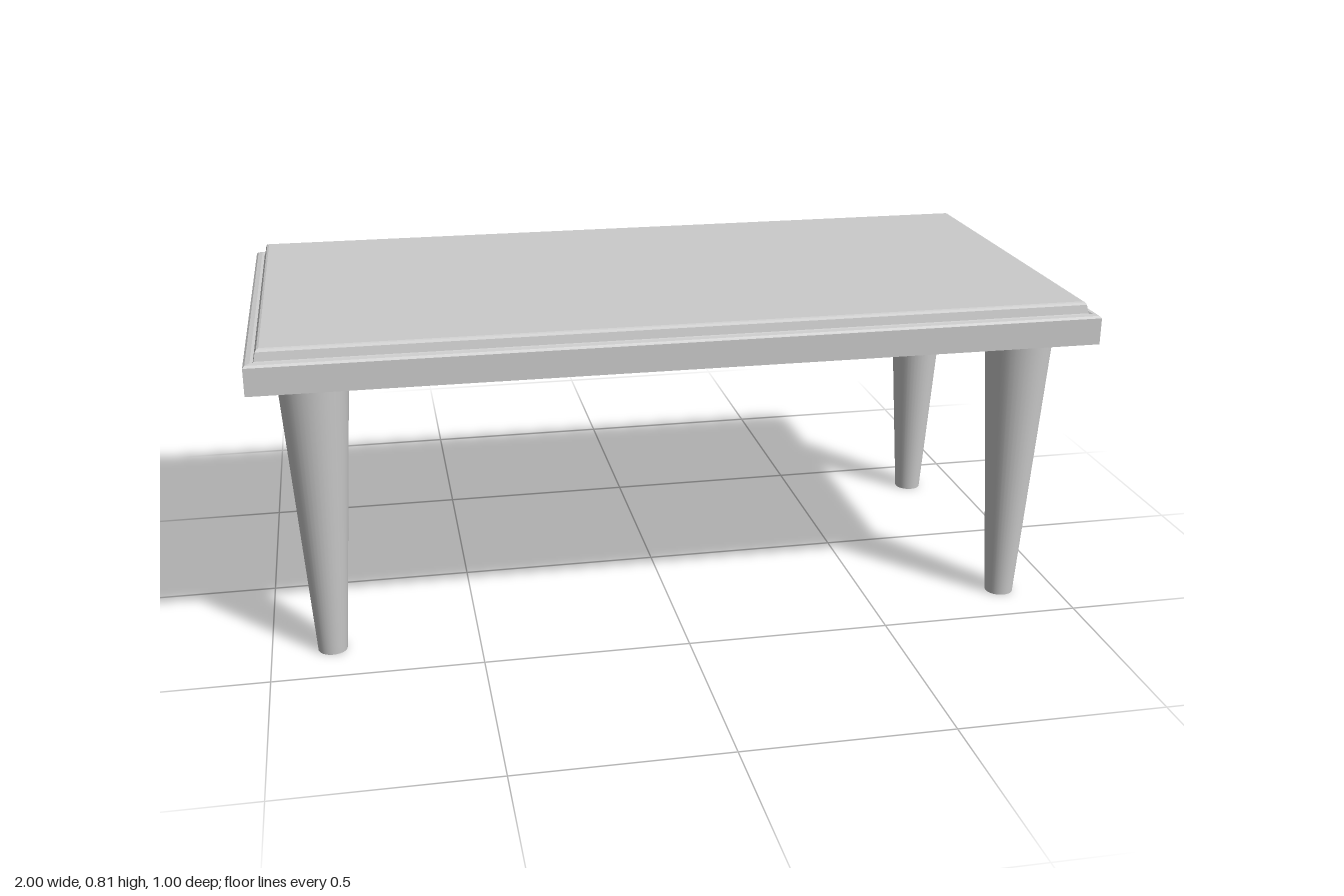
import * as THREE from 'three';

const material = new THREE.MeshStandardMaterial({ color: 0xcccccc });
const HALF_X = 1, HALF_Z = 0.5;

// Rectangular rings lofted along a profile of [inset, height], with both ends capped
function loftRectangle(profile) {
  const positions = [], index = [];
  for (const [inset, y] of profile) {
    const a = HALF_X - inset, b = HALF_Z - inset;
    positions.push(a, y, b, a, y, -b, -a, y, -b, -a, y, b);
  }
  const last = (profile.length - 1) * 4;
  for (let r = 0; r < last; r += 4) {
    for (let j = 0; j < 4; j++) {
      const k = (j + 1) % 4;
      index.push(r + j, r + 4 + j, r + 4 + k, r + j, r + 4 + k, r + k);
    }
  }
  index.push(0, 1, 2, 0, 2, 3, last, last + 2, last + 1, last, last + 3, last + 2);
  const indexed = new THREE.BufferGeometry();
  indexed.setAttribute('position', new THREE.Float32BufferAttribute(positions, 3));
  indexed.setIndex(index);
  const geometry = indexed.toNonIndexed(); // crisp edges
  geometry.computeVertexNormals();
  return geometry;
}

export function createModel() {
  const table = new THREE.Group();
  table.name = 'table';

  // Top: raised panel, shallow groove, eased rim, hollow underside
  const tabletop = new THREE.Mesh(loftRectangle([
    [0.036, 0.805], [0.031, 0.803], [0.028, 0.798], [0.024, 0.778],
    [0.022, 0.774], [0.016, 0.778], [0.005, 0.776], [0, 0.771],
    [0, 0.706], [0.04, 0.706], [0.04, 0.772],
  ]), material);
  tabletop.name = 'tabletop';
  table.add(tabletop);

  // Four tapered round legs reaching up into the hollow
  const legHeight = 0.773;
  const legGeometry = new THREE.CylinderGeometry(0.087, 0.035, legHeight, 40);
  for (const [sx, side] of [[1, 'Left'], [-1, 'Right']]) {
    for (const [sz, end] of [[1, 'front'], [-1, 'back']]) {
      const leg = new THREE.Mesh(legGeometry, material);
      leg.name = `${end}${side}Leg`;
      leg.position.set(sx * 0.855, legHeight / 2, sz * 0.359);
      table.add(leg);
    }
  }
  return table;
}
